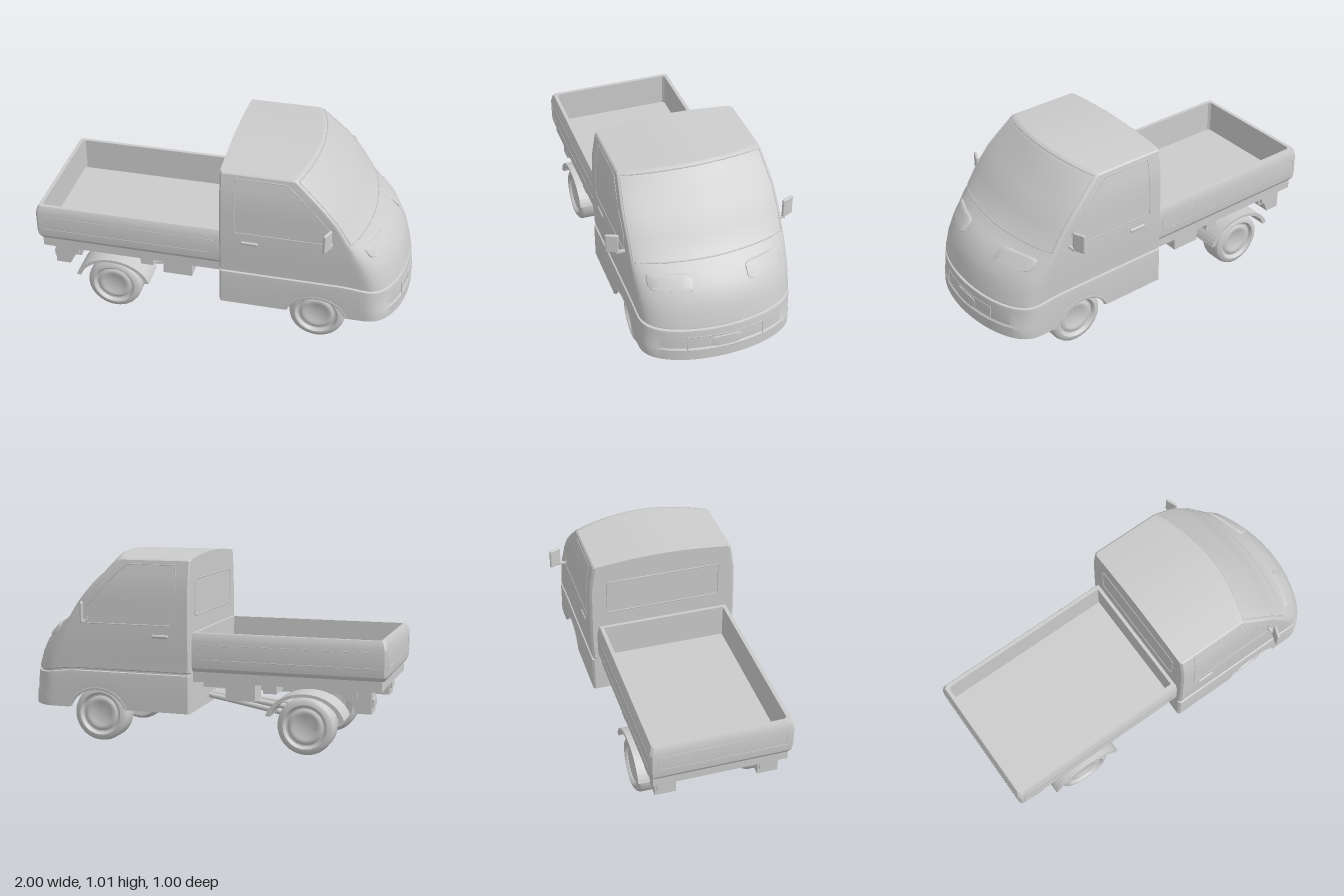
import * as THREE from 'three';
import { toCreasedNormals } from 'three/addons/utils/BufferGeometryUtils.js';
import { RoundedBoxGeometry } from 'three/addons/geometries/RoundedBoxGeometry.js';

const V = (x, y, z) => new THREE.Vector3(x, y, z);
const mat = new THREE.MeshStandardMaterial({ color: 0xcccccc, side: THREE.DoubleSide });

// Cab cross-sections: height, nose x, half width, bow of the front, corner rounding
const ROWS = [
  [0.19, 0.997, 0.402, 0.06, 0.16], [0.25, 0.995, 0.403, 0.06, 0.16], [0.26, 0.988, 0.403, 0.06, 0.16],
  [0.37, 0.983, 0.404, 0.06, 0.16], [0.39, 0.98, 0.402, 0.06, 0.16], [0.393, 0.968, 0.392, 0.06, 0.15],
  [0.402, 0.967, 0.392, 0.06, 0.15], [0.407, 0.977, 0.399, 0.06, 0.15], [0.47, 0.958, 0.402, 0.07, 0.14],
  [0.53, 0.932, 0.404, 0.085, 0.12], [0.58, 0.893, 0.405, 0.095, 0.09], [0.625, 0.845, 0.405, 0.085, 0.065],
  [0.665, 0.775, 0.404, 0.055, 0.045], [0.76, 0.708, 0.403, 0.052, 0.035], [0.85, 0.632, 0.401, 0.054, 0.03],
  [0.91, 0.572, 0.392, 0.057, 0.028], [0.97, 0.507, 0.382, 0.06, 0.025], [0.986, 0.487, 0.379, 0.06, 0.022],
  [0.993, 0.472, 0.371, 0.06, 0.02]];

function cabRow(y) {
  const i = Math.max(1, ROWS.findIndex(r => r[0] >= y));
  const a = ROWS[i - 1], b = ROWS[i], t = (y - a[0]) / (b[0] - a[0]);
  return a.map((v, k) => v + (b[k] - v) * t);
}

// Front outline in plan, s running from the centre (0) to the side (1)
const frontX = ([, xf, , bow, a], s) => xf - bow * s ** 1.7 - a * (1 - Math.cbrt(Math.max(0, 1 - s ** 3)));

// Roof crown, dipping waist groove and wheel arch cut
function shapeCab(x, y, z, w) {
  let h = y + 0.025 * (1 - Math.abs(z / w) ** 1.8) * THREE.MathUtils.smoothstep(y, 0.9, 0.985);
  h -= 0.024 * THREE.MathUtils.smoothstep(x, 0.65, 0.93) * Math.exp(-(((y - 0.397) / 0.06) ** 2));
  const u = (x - 0.54) / 0.162;
  if (y < 0.37 && Math.abs(u) < 1 && Math.abs(z) > 0.3) {
    const low = Math.max(0.19, 0.155 + 0.132 * Math.sqrt(1 - u * u));
    h = low + (y - 0.19) / 0.18 * (0.37 - low);
  }
  return V(x, h, z);
}

// Point on the curved nose or windscreen
function frontPoint(y, z, out = 0) {
  const row = cabRow(y), w = row[2];
  const p = shapeCab(frontX(row, Math.min(1, Math.abs(z) / w)), y, z, w);
  p.x += out;
  return p;
}

function cabRing(row, k = 1) {
  const [y, xf, w, bow, a] = row, half = [], xc = xf - bow - a;
  for (let i = 0; i <= 22; i++) {
    const s = i === 0 ? 0 : Math.sin(i / 22 * Math.PI / 2) ** (2 / 3);
    half.push([frontX(row, s), w * s]);
  }
  for (let i = 1; i <= 64; i++) half.push([xc + (0.03 - xc) * i / 64, w]);
  half.push([0.02, w - 0.012], [0.02, w / 2], [0.02, 0]);
  const ring = half.map(([x, z]) => shapeCab(x, y, -z * k, w));
  return ring.concat(half.slice(1, -1).reverse().map(([x, z]) => shapeCab(x, y, z * k, w)));
}

// Skin between closed rings
function loft(rings, crease = 0.5) {
  const n = rings[0].length, idx = [];
  for (let i = 0; i < rings.length - 1; i++) for (let j = 0; j < n; j++) {
    const a = i * n + j, b = i * n + (j + 1) % n;
    idx.push(a, b, a + n, b, b + n, a + n);
  }
  const g = new THREE.BufferGeometry().setFromPoints(rings.flat());
  g.setIndex(idx);
  g.computeVertexNormals();
  return toCreasedNormals(g, crease);
}

// Softly raised panel lying on the nose
function nosePanel(z0, z1, y0, y1, depth) {
  const rings = [];
  for (const [k, d] of [[1, -0.004], [0.98, depth * 0.7], [0.92, depth], [0.5, depth], [0.01, depth]]) {
    const ring = [];
    for (let i = 0; i < 40; i++) {
      const t = i / 40 * Math.PI * 2, c = Math.cos(t), s = Math.sin(t);
      const z = (z0 + z1) / 2 - (z1 - z0) / 2 * k * Math.sign(c) * Math.abs(c) ** 0.35;
      const y = (y0 + y1) / 2 + (y1 - y0) / 2 * k * Math.sign(s) * Math.abs(s) ** 0.35;
      ring.push(frontPoint(y, z, d));
    }
    rings.push(ring);
  }
  return loft(rings);
}

// Thin seam following a closed line
function seam(points, r = 0.003) {
  const path = new THREE.CurvePath();
  points.forEach((p, i) => path.add(new THREE.LineCurve3(p, points[(i + 1) % points.length])));
  return new THREE.TubeGeometry(path, points.length * 14, r, 5, true);
}

const rod = (a, b, r) => new THREE.TubeGeometry(new THREE.LineCurve3(a, b), 1, r, 12);

const slab = (points, depth) => new THREE.ExtrudeGeometry(
  new THREE.Shape(points.map(p => new THREE.Vector2(...p))), { depth, bevelEnabled: false });

export function createModel() {
  const root = new THREE.Group();
  const add = (name, geo, x = 0, y = 0, z = 0) => {
    const m = new THREE.Mesh(geo, mat);
    m.name = name;
    m.position.set(x, y, z);
    root.add(m);
    return m;
  };
  const box = (name, x0, x1, y0, y1, z0, z1) =>
    add(name, new THREE.BoxGeometry(x1 - x0, y1 - y0, z1 - z0), (x0 + x1) / 2, (y0 + y1) / 2, (z0 + z1) / 2);

  // Cab shell with its roof and floor
  const rings = ROWS.map(r => cabRing(r));
  for (const k of [0.85, 0.6, 0.3, 0]) rings.push(cabRing(ROWS[ROWS.length - 1], k));
  add('cabShell', loft(rings));
  box('cabFloor', 0.025, 0.375, 0.245, 0.258, -0.395, 0.395);
  box('cabFrontFloor', 0.37, 0.82, 0.315, 0.328, -0.39, 0.39);
  box('floorStep', 0.365, 0.375, 0.25, 0.32, -0.395, 0.395);

  // Windscreen and rear window surrounds
  const screen = [], edge = y => cabRow(y)[2] * 0.965;
  for (let i = 0; i <= 10; i++) screen.push(frontPoint(0.66, edge(0.66) * (i / 5 - 1)));
  for (let i = 1; i <= 8; i++) screen.push(frontPoint(0.66 + 0.04 * i, edge(0.66 + 0.04 * i)));
  for (let i = 0; i <= 10; i++) screen.push(frontPoint(0.983, edge(0.983) * (1 - i / 5)));
  for (let i = 8; i >= 1; i--) screen.push(frontPoint(0.66 + 0.04 * i, -edge(0.66 + 0.04 * i)));
  add('windscreenSeal', seam(screen, 0.004));
  add('rearWindowSeal', seam([V(0.02, 0.7, -0.31), V(0.02, 0.7, 0.31), V(0.02, 0.89, 0.31), V(0.02, 0.89, -0.31)], 0.004));

  // Grille and plate
  const grille = [];
  for (let i = 0; i <= 6; i++) grille.push(frontPoint(0.25, -0.2 + i / 15));
  for (let i = 0; i <= 6; i++) grille.push(frontPoint(0.335, 0.2 - i / 15));
  add('grilleFrame', seam(grille));
  add('numberPlate', nosePanel(-0.08, 0.08, 0.257, 0.32, 0.004));

  // Load bed: outer wall, rim, inner wall and floor
  const bedRing = ([y, d]) => {
    const c = 0.012, x0 = -1 + d, x1 = 0.018, w = 0.37 - d;
    const xi = d > 0.03 ? x1 - 0.018 : x1;
    return [[xi, w], [xi, -w], [x0 + c, -w], [x0, -w + c], [x0, w - c], [x0 + c, w]].map(([x, z]) => V(x, y, z));
  };
  add('loadBed', loft([[0.41, 0.015], [0.43, 0.003], [0.46, 0], [0.57, 0], [0.603, 0.008], [0.615, 0.014],
    [0.615, 0.034], [0.43, 0.036]].map(bedRing), 0.3));
  box('bedFloor', -0.97, 0.01, 0.41, 0.432, -0.345, 0.345);
  box('bedSubframe', -0.975, 0.018, 0.355, 0.41, -0.35, 0.35);
  add('tailgatePanel', seam([V(-1, 0.475, -0.33), V(-1, 0.475, 0.33), V(-1, 0.555, 0.33), V(-1, 0.555, -0.33)], 0.002));

  // Wheel profile: radius, distance from the inner face
  const wheelGeo = toCreasedNormals(new THREE.LatheGeometry([[0, 0.025], [0.05, 0.025], [0.09, 0.03], [0.1, 0.004], [0.13, 0],
    [0.144, 0.01], [0.15, 0.028], [0.15, 0.107], [0.145, 0.124], [0.13, 0.134], [0.115, 0.136], [0.108, 0.13], [0.103, 0.118],
    [0.095, 0.117], [0.085, 0.124], [0.072, 0.126], [0.06, 0.12], [0, 0.116]].map(p => new THREE.Vector2(...p)), 40), 0.7);

  // Fender strip over the rear wheel
  const arc = (rx, ry, i) => {
    const t = (0.08 + 0.84 * i / 20) * Math.PI;
    return [-0.585 + rx * Math.cos(t), 0.162 + ry * Math.sin(t)];
  };
  const fender = [];
  for (let i = 0; i <= 20; i++) fender.push(arc(0.212, 0.166, i));
  for (let i = 20; i >= 0; i--) fender.push(arc(0.188, 0.15, i));

  for (const s of [1, -1]) {
    const side = s > 0 ? 'left' : 'right';
    const span = (name, x0, x1, y0, y1, z0, z1) =>
      box(side + name, x0, x1, y0, y1, Math.min(s * z0, s * z1), Math.max(s * z0, s * z1));

    // Cab side details
    const win = [[0.1, 0.65], [0.1, 0.85], [0.1, 0.965], [0.37, 0.965], [0.43, 0.91], [0.51, 0.83], [0.59, 0.74], [0.59, 0.65]];
    add(side + 'DoorWindowSeal', seam(win.map(([x, y]) => V(x, y, s * cabRow(y)[2]))));
    add(side + 'DoorHandle', new THREE.CapsuleGeometry(0.011, 0.075, 4, 10).rotateZ(Math.PI / 2), 0.18, 0.592, s * 0.402);
    const light = s > 0 ? [0.14, 0.352] : [-0.352, -0.14];
    add(side + 'Headlight', nosePanel(...light, 0.562, 0.627, 0.012));
    const lip = new THREE.TorusGeometry(0.168, 0.012, 8, 32, Math.PI * 0.82).rotateZ(Math.PI * 0.09).scale(1, 0.86, 1);
    add(side + 'WheelArchLip', lip, 0.54, 0.155, s * 0.393);

    // Mirror
    span('MirrorArm', 0.597, 0.613, 0.658, 0.668, 0.395, 0.45);
    add(side + 'Mirror', new RoundedBoxGeometry(0.016, 0.108, 0.068, 3, 0.007), 0.593, 0.714, s * 0.467).rotation.y = -s * 0.4;

    // Wheels and fenders
    for (const [name, x] of [['FrontWheel', 0.54], ['RearWheel', -0.585]]) {
      add(side + name, wheelGeo, x, 0.153, s * 0.225).rotation.x = s * Math.PI / 2;
      add(side + name + 'Hub', new THREE.CylinderGeometry(0.03, 0.03, 0.05, 16).rotateX(Math.PI / 2), x, 0.153, s * 0.232);
    }
    add(side + 'RearFender', slab(fender, 0.155), 0, 0, s > 0 ? 0.218 : -0.373);

    // Embossed bed side
    const panel = [[-0.97, 0.475], [-0.02, 0.475], [-0.02, 0.555], [-0.97, 0.555]];
    add(side + 'BedPanel', seam(panel.map(([x, y]) => V(x, y, s * 0.37)), 0.002));

    // Chassis
    span('FrameRail', -0.9, 0.03, 0.295, 0.355, 0.12, 0.165);
    span('SpringBlock', 0.49, 0.59, 0.133, 0.19, 0.122, 0.158);
    span('UnderbedBox', -0.31, -0.15, 0.26, 0.356, 0.2, 0.32);
    span('FrontBracket', -0.43, -0.36, 0.312, 0.356, 0.25, 0.34);
    span('RearBracket', -0.85, -0.78, 0.312, 0.356, 0.25, 0.34);
    const lamp = [[-0.92, 0.235], [-0.84, 0.235], [-0.815, 0.295], [-0.77, 0.3], [-0.77, 0.356], [-0.92, 0.356]];
    add(side + 'TailLampBracket', slab(lamp, 0.11), 0, 0, s > 0 ? 0.215 : -0.325);
    span('TailLamp', -0.93, -0.915, 0.27, 0.31, 0.225, 0.315);
    add(side + 'TrailingArm', rod(V(-0.56, 0.153, s * 0.15), V(0.06, 0.237, s * 0.05), 0.015));
    add(side + 'RearSpring', rod(V(-0.6, 0.16, s * 0.14), V(-0.6, 0.31, s * 0.14), 0.025));
  }

  // Axles and drive line
  for (const [name, x] of [['frontAxle', 0.54], ['rearAxle', -0.585]])
    add(name, rod(V(x, 0.155, -0.23), V(x, 0.155, 0.23), 0.019));
  add('differential', new THREE.SphereGeometry(0.06, 24, 16).scale(1, 0.75, 1), -0.585, 0.152, 0);
  add('driveShaft', rod(V(-0.56, 0.16, 0), V(0.12, 0.245, 0), 0.016));
  for (const x of [-0.88, -0.4]) box('crossMember', x - 0.02, x + 0.02, 0.305, 0.35, -0.3, 0.3);
  return root;
}
